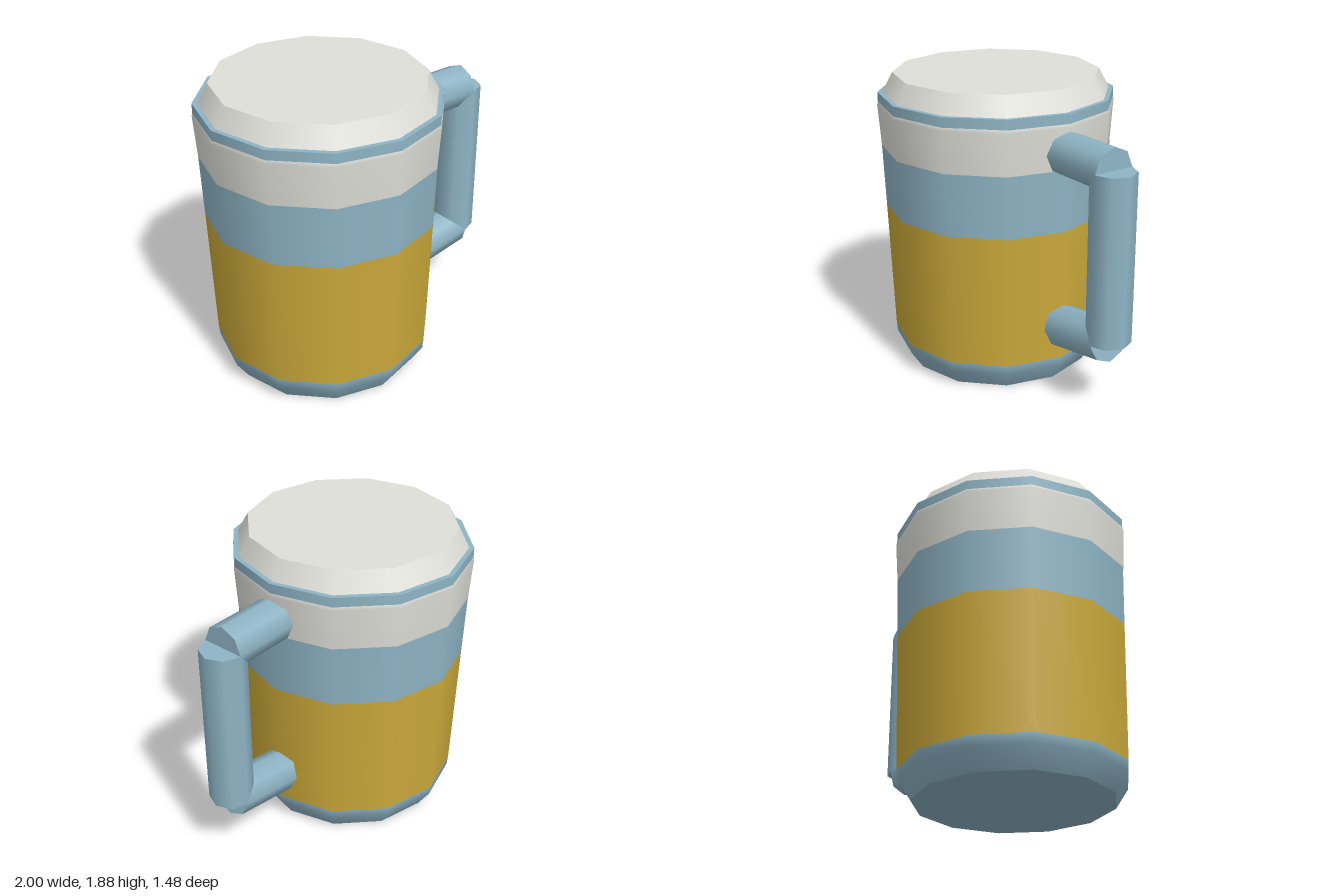
import * as THREE from 'three';

const SIDES = 12;
const CENTER_X = -0.26;

function material(name, color) {
  const m = new THREE.MeshStandardMaterial({ color });
  m.name = name;
  return m;
}

export function createModel() {
  const blue = material('dusty blue', 0x8fb5c6);
  const amber = material('amber', 0xcba93a);
  const cream = material('off white', 0xdfdfd9);

  const mug = new THREE.Group();
  mug.name = 'mug';

  // Turned band from [radius, height] pairs, listed bottom to top
  function band(name, mat, profile) {
    const points = profile.map(([r, y]) => new THREE.Vector2(r, y));
    const mesh = new THREE.Mesh(new THREE.LatheGeometry(points, SIDES), mat);
    mesh.name = name;
    mesh.position.x = CENTER_X;
    mug.add(mesh);
  }

  // Base and walls
  band('baseUnderside', blue, [[0, 0], [0.6, 0]]);
  band('base', blue, [[0.6, 0], [0.678, 0.12], [0.684, 0.18]]);
  band('lowerWall', amber, [[0.684, 0.18], [0.71, 1.03]]);
  band('middleWall', blue, [[0.71, 1.03], [0.723, 1.42]]);
  band('upperWall', cream, [[0.723, 1.42], [0.74, 1.68], [0.735, 1.7]]);

  // Rim ring with its flat ledge
  band('rim', blue, [[0.735, 1.7], [0.735, 1.76]]);
  band('rimLedge', blue, [[0.735, 1.76], [0.69, 1.76]]);

  // Bevelled top
  band('topBevel', cream, [[0.705, 1.76], [0.64, 1.88]]);
  band('topDisc', cream, [[0.64, 1.88], [0, 1.88]]);

  // Handle of three eight-sided bars
  const handle = new THREE.Group();
  handle.name = 'handle';
  mug.add(handle);
  const bars = [
    ['upperBar', [0.42, 1.523], [0.863, 1.523]],
    ['grip', [0.865, 0.483], [0.865, 1.523]],
    ['lowerBar', [0.428, 0.405], [0.863, 0.483]],
  ];
  for (const [name, a, b] of bars) {
    const dx = b[0] - a[0], dy = b[1] - a[1];
    const bar = new THREE.Mesh(
      new THREE.CylinderGeometry(0.135, 0.135, Math.hypot(dx, dy), 8), blue);
    bar.name = name;
    bar.position.set((a[0] + b[0]) / 2, (a[1] + b[1]) / 2, 0);
    bar.rotation.z = Math.atan2(dy, dx) - Math.PI / 2;
    handle.add(bar);
  }

  return mug;
}
